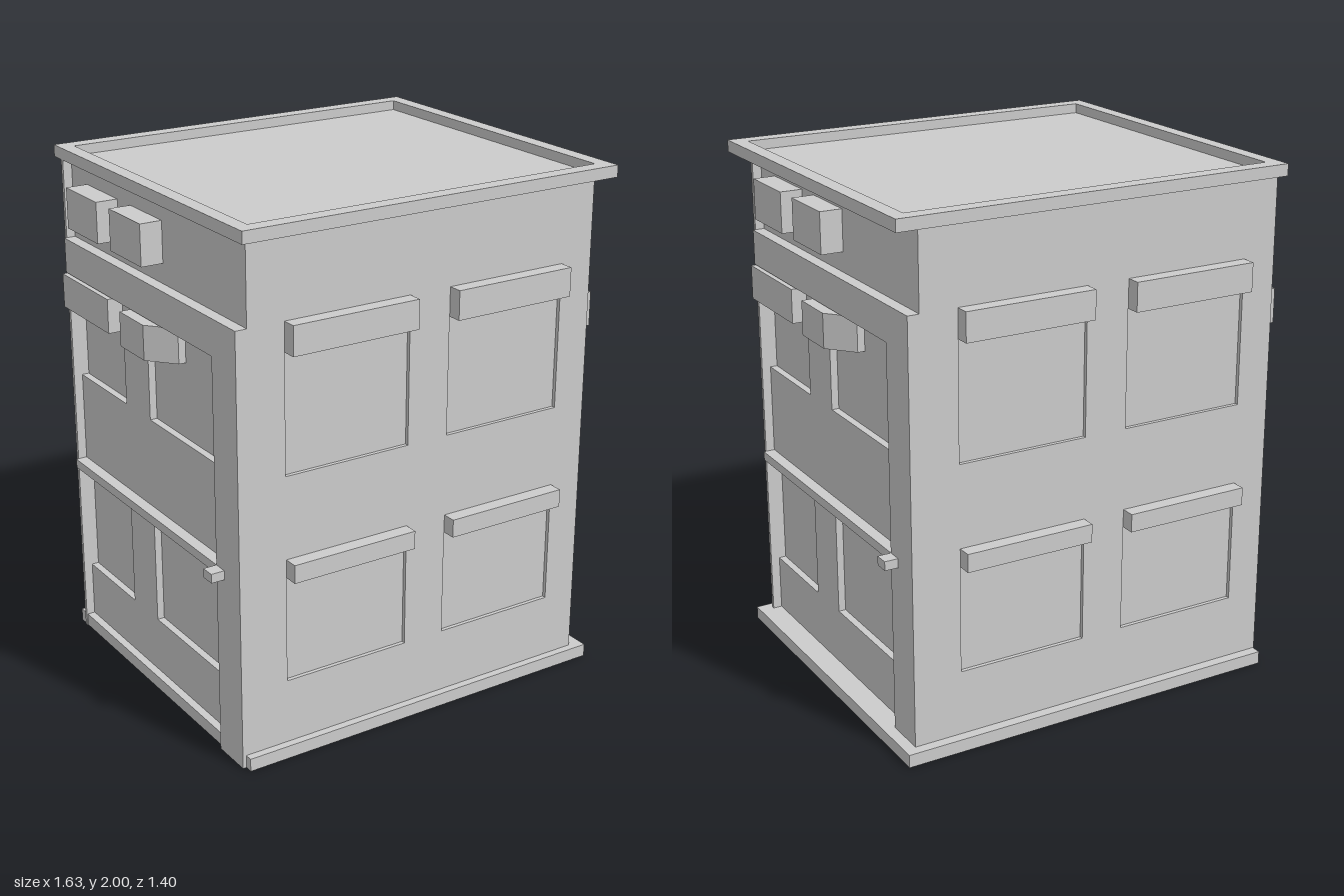
import * as THREE from 'three';

const grey = new THREE.MeshStandardMaterial({ color: 0xcccccc, flatShading: true, side: THREE.DoubleSide });

function add(parent, name, geometry) {
  const mesh = new THREE.Mesh(geometry, grey);
  mesh.name = name;
  parent.add(mesh);
  return mesh;
}

// Box given by its limits on each axis
function box(parent, name, [x0, x1], [y0, y1], [z0, z1]) {
  const g = new THREE.BoxGeometry(x1 - x0, y1 - y0, z1 - z0);
  g.translate((x0 + x1) / 2, (y0 + y1) / 2, (z0 + z1) / 2);
  return add(parent, name, g);
}

function rect(Type, [x0, x1], [y0, y1]) {
  return new Type([[x0, y0], [x1, y0], [x1, y1], [x0, y1]].map(p => new THREE.Vector2(...p)));
}

// Flat slab with rectangular openings, extruded along +z
function slab(u, v, holes, depth) {
  const shape = rect(THREE.Shape, u, v);
  for (const [hu, hv] of holes) shape.holes.push(rect(THREE.Path, hu, hv));
  return new THREE.ExtrudeGeometry(shape, { depth, bevelEnabled: false });
}

// One long wall and one side wall; the building is two of these back to back
function buildHalf() {
  const half = new THREE.Group();

  // Front wall with four shallow windows under projecting canopies
  const columns = [[-0.58, -0.07], [0.10, 0.60]];
  const rows = [
    { window: [0.30, 0.71], canopy: [0.71, 0.78] },
    { window: [1.095, 1.545], canopy: [1.545, 1.655] },
  ];
  const openings = [];
  for (const c of columns) {
    for (const r of rows) {
      openings.push([c, r.window]);
      box(half, 'windowPane', [c[0] - 0.005, c[1] + 0.005], [r.window[0] - 0.005, r.window[1]], [0.62, 0.63]);
      box(half, 'windowCanopy', c, r.canopy, [0.60, 0.70]);
    }
  }
  add(half, 'frontWall', slab([-0.725, 0.735], [0, 1.96], openings, 0.015)).position.z = 0.63;

  // Side wall, recessed behind the front slab, with deeper windows
  const sideOpenings = [];
  for (const z of [[0.255, 0.63], [-0.485, 0.065]]) {
    for (const y of [[0.27, 0.67], [1.095, 1.515]]) {
      sideOpenings.push([[-z[1], -z[0]], y]);
      box(half, 'sideWindowPane', [0.662, 0.672], [y[0] - 0.005, y[1] + 0.005], [z[0] - 0.005, z[1]]);
    }
  }
  const sideWall = slab([-0.635, 0.635], [0, 1.96], sideOpenings, 0.03);
  sideWall.rotateY(Math.PI / 2);
  add(half, 'sideWall', sideWall).position.x = 0.67;

  // Corner pillar, band and rail with its end block
  box(half, 'cornerPillar', [0.70, 0.745], [0, 1.52], [-0.645, -0.485]);
  box(half, 'sideBand', [0.70, 0.745], [1.52, 1.655], [-0.645, 0.63]);
  box(half, 'sideRail', [0.70, 0.745], [0.71, 0.745], [-0.485, 0.63]);
  box(half, 'railEnd', [0.70, 0.797], [0.71, 0.745], [-0.54, -0.485]);

  // Boxes mounted on the side
  box(half, 'upperSideBox', [0.70, 0.785], [1.73, 1.885], [0.26, 0.505]);
  box(half, 'upperSideBox', [0.70, 0.785], [1.73, 1.885], [-0.075, 0.16]);
  box(half, 'windowHood', [0.67, 0.76], [1.385, 1.517], [0.255, 0.63]);

  // Hood with one slanted end, drawn in plan and extruded upward
  const plan = new THREE.Shape([[0.67, -0.11], [0.785, -0.11], [0.785, 0.07], [0.70, 0.17], [0.67, 0.17]]
    .map(p => new THREE.Vector2(...p)));
  const hood = new THREE.ExtrudeGeometry(plan, { depth: 0.132, bevelEnabled: false });
  hood.rotateX(-Math.PI / 2);
  add(half, 'slantedHood', hood).position.y = 1.385;

  return half;
}

export function createModel() {
  const model = new THREE.Group();
  model.name = 'building';

  const front = buildHalf();
  front.name = 'frontHalf';
  const back = buildHalf();
  back.name = 'backHalf';
  back.rotation.y = Math.PI;
  back.position.x = -0.024;
  model.add(front, back);

  // Plinth ring, open underneath
  const plinth = slab([-0.755, 0.79], [-0.675, 0.685], [[[-0.70, 0.68], [-0.615, 0.615]]], 0.05);
  plinth.rotateX(-Math.PI / 2);
  add(model, 'plinth', plinth);

  // Roof deck inside a raised rim
  const rim = slab([-0.76, 0.808], [-0.685, 0.70], [[[-0.705, 0.75], [-0.625, 0.64]]], 0.045);
  rim.rotateX(-Math.PI / 2);
  add(model, 'roofRim', rim).position.y = 1.955;
  box(model, 'roofDeck', [-0.71, 0.755], [1.957, 1.963], [-0.645, 0.63]);

  return model;
}
